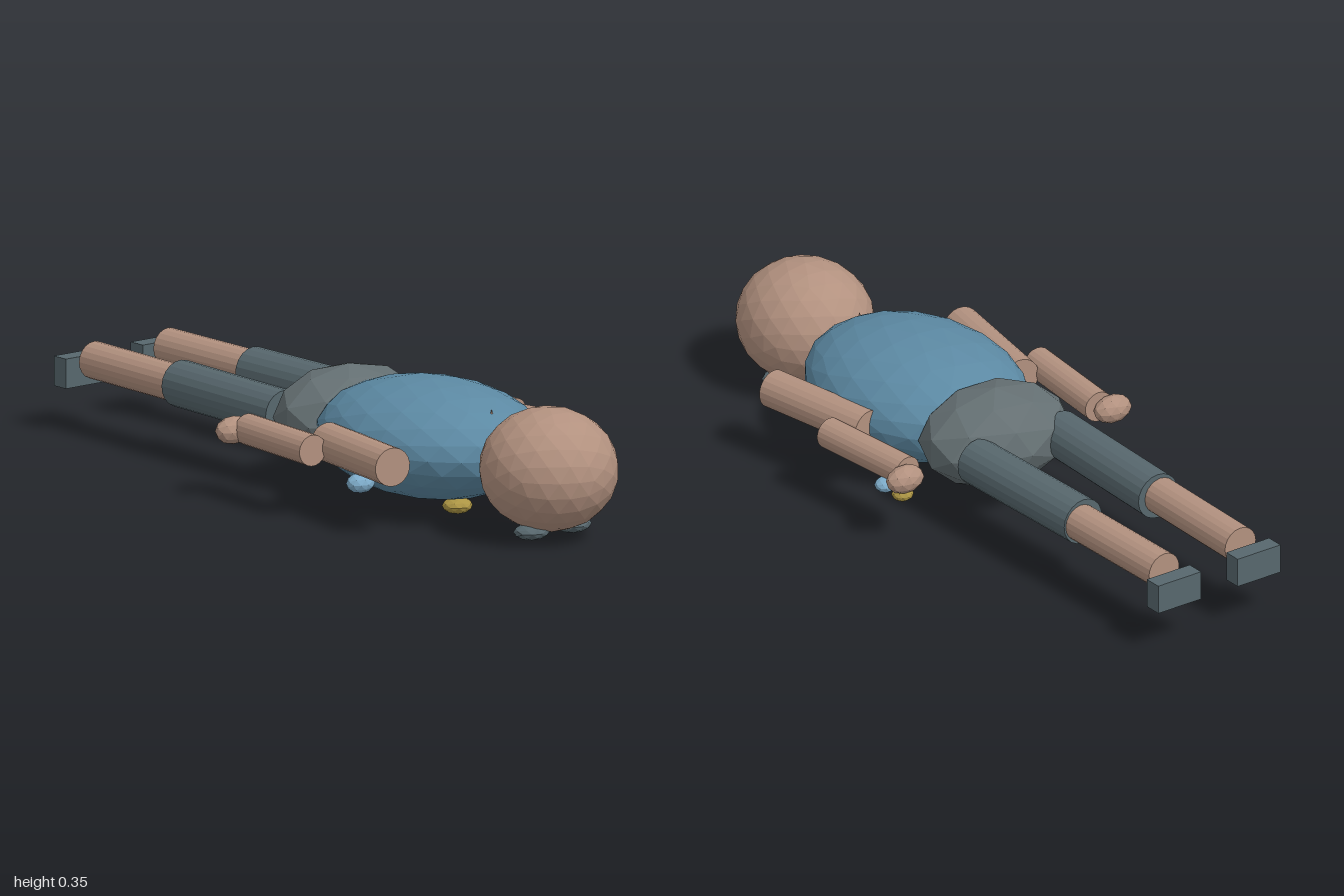
import * as THREE from 'three';

const mat = (name, color) => {
  const m = new THREE.MeshStandardMaterial({ color });
  m.name = name;
  m.flatShading = true;
  return m;
};

export function createModel() {
  const skin = mat('skin', 0xb2917f);
  const shirt = mat('shirt blue', 0x5c89a3);
  const grey = mat('trouser grey', 0x646f72);
  const slate = mat('dark slate', 0x57676d);
  const pale = mat('pale blue', 0x7fadcb);
  const gold = mat('gold', 0xac9544);

  const root = new THREE.Group();
  root.name = 'lyingFigure';

  const add = (name, geometry, material) => {
    const mesh = new THREE.Mesh(geometry, material);
    mesh.name = name;
    root.add(mesh);
    return mesh;
  };

  // Faceted ellipsoid with a corner at each z end
  const blob = (name, material, center, radii, detail = 1) => {
    const g = new THREE.IcosahedronGeometry(1, detail);
    g.rotateX(Math.atan(2 / (1 + Math.sqrt(5))));
    g.rotateZ(-Math.PI / 2);
    g.scale(...radii);
    g.translate(...center);
    g.computeVertexNormals();
    return add(name, g, material);
  };

  // Straight limb between two points
  const limb = (name, material, from, to, radius) => {
    const a = new THREE.Vector3(...from), b = new THREE.Vector3(...to);
    const dir = b.clone().sub(a);
    const mesh = add(name, new THREE.CylinderGeometry(radius, radius, dir.length(), 20), material);
    mesh.position.copy(a).add(b).multiplyScalar(0.5);
    mesh.quaternion.setFromUnitVectors(new THREE.Vector3(0, 1, 0), dir.normalize());
    return mesh;
  };

  // Body and head
  blob('head', skin, [0, 0.19, 0.81], [0.18, 0.165, 0.19], 3);
  blob('torso', shirt, [0, 0.19, 0.32], [0.265, 0.156, 0.35], 3);
  blob('hips', grey, [0, 0.192, -0.02], [0.22, 0.134, 0.165], 1);

  // Tip of the neck showing through the collar
  const tip = add('neckTip', new THREE.ConeGeometry(0.011, 0.04, 6), skin);
  tip.position.set(0, 0.288, 0.572);

  for (const s of [1, -1]) {
    const side = s > 0 ? 'left' : 'right';
    // Face
    blob(side + 'Eye', slate, [s * 0.07, 0.034, 0.825], [0.052, 0.022, 0.043]);
    // Arm
    limb(side + 'UpperArm', skin, [s * 0.308, 0.19, 0.54], [s * 0.25, 0.19, 0.2], 0.052);
    limb(side + 'Forearm', skin, [s * 0.342, 0.188, 0.25], [s * 0.314, 0.188, -0.055], 0.042);
    blob(side + 'Hand', skin, [s * 0.34, 0.185, -0.08], [0.057, 0.038, 0.036]);
    // Leg
    limb(side + 'Thigh', slate, [s * 0.136, 0.192, -0.12], [s * 0.123, 0.192, -0.568], 0.063);
    limb(side + 'Shin', skin, [s * 0.131, 0.192, -0.55], [s * 0.125, 0.192, -0.925], 0.05);
    add(side + 'Foot', new THREE.BoxGeometry(0.14, 0.08, 0.05), slate)
      .position.set(s * 0.13, 0.16, -0.975);
  }

  // Small ornaments
  blob('chestBadge', gold, [0, 0.024, 0.43], [0.041, 0.022, 0.04]);
  blob('armOrnament', pale, [-0.29, 0.118, 0.385], [0.041, 0.027, 0.034]);
  blob('wristOrnament', pale, [0.345, 0.14, -0.003], [0.032, 0.021, 0.028]);
  blob('handOrnament', gold, [0.343, 0.14, -0.073], [0.03, 0.019, 0.028]);

  return root;
}
